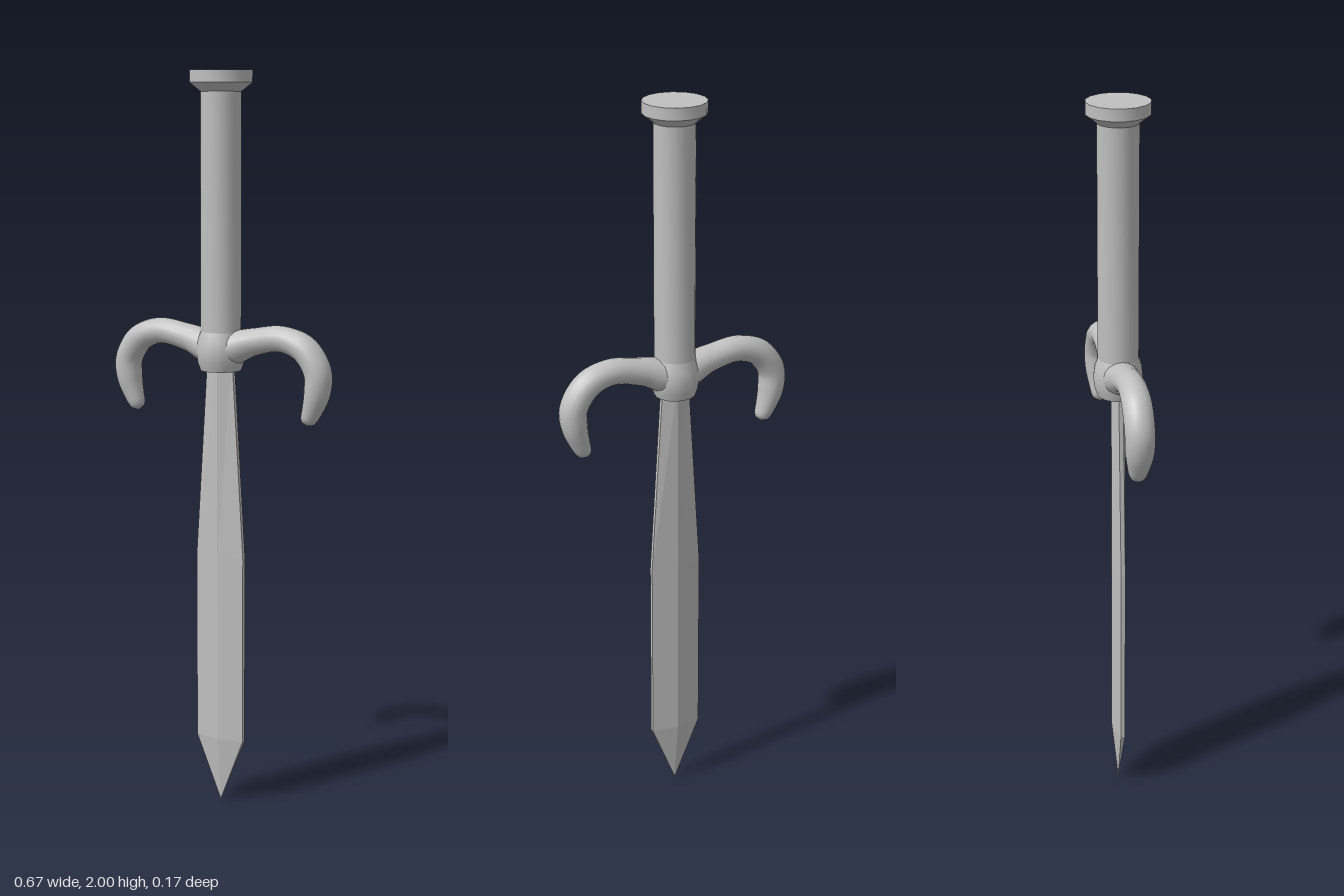
import * as THREE from 'three';
import { mergeVertices, toCreasedNormals } from 'three/addons/utils/BufferGeometryUtils.js';

const SIDES = 16;

// Turned part from [radius, height] pairs, listed bottom to top
function turned(name, profile, material) {
  const lathe = new THREE.LatheGeometry(profile.map(([r, y]) => new THREE.Vector2(r, y)), SIDES);
  const mesh = new THREE.Mesh(toCreasedNormals(lathe, 0.6), material);
  mesh.name = name;
  return mesh;
}

// Curved guard: one tube through both horns, with a varying radius
function guardGeometry() {
  // x, y, radius along the left half
  const half = [
    [0, 1.265, 0.05], [0.1, 1.292, 0.037], [0.19, 1.305, 0.035], [0.255, 1.282, 0.037],
    [0.294, 1.225, 0.037], [0.293, 1.17, 0.035], [0.278, 1.12, 0.027],
    [0.27, 1.1, 0.023], [0.267, 1.088, 0.017], [0.264, 1.08, 0],
  ];
  const all = [...half.slice(1).reverse().map(([x, y, r]) => [-x, y, r]), ...half];
  const path = new THREE.CatmullRomCurve3(all.map(([x, y]) => new THREE.Vector3(x, y, 0)));
  const radii = new THREE.SplineCurve(all.map((p) => new THREE.Vector2(p[2], 0)));
  const rings = 100;
  const tube = new THREE.TubeGeometry(path, rings, 1, SIDES);
  const pos = tube.attributes.position;
  const v = new THREE.Vector3();
  for (let i = 0; i <= rings; i++) {
    const u = i / rings;
    const centre = path.getPointAt(u);
    const end = i === 0 || i === rings;
    const r = end ? 0 : Math.max(0, radii.getPoint(path.getUtoTmapping(u)).x);
    for (let j = 0; j <= SIDES; j++) {
      const k = i * (SIDES + 1) + j;
      v.fromBufferAttribute(pos, k).sub(centre).multiplyScalar(r);
      v.z *= 1.07;
      v.add(centre);
      pos.setXYZ(k, v.x, v.y, v.z);
    }
  }
  tube.deleteAttribute('uv');
  tube.deleteAttribute('normal');
  const smooth = mergeVertices(tube, 1e-5);
  smooth.computeVertexNormals();
  return smooth;
}

// Blade: six-sided sections with a central ridge and narrow blunt edges
function bladeGeometry() {
  // height, half width, half thickness at the ridge, half thickness at the edge
  const sections = [
    [0, 0, 0, 0], [0.18, 0.073, 0.019, 0.006],
    [0.7, 0.073, 0.019, 0.006], [1.25, 0.038, 0.019, 0.006],
  ];
  const points = [];
  const index = [];
  sections.forEach(([y, w, t, e], s) => {
    points.push(w, y, e, 0, y, t, -w, y, e, -w, y, -e, 0, y, -t, w, y, -e);
    if (s === 0) return;
    for (let j = 0; j < 6; j++) {
      const a = (s - 1) * 6 + j, b = (s - 1) * 6 + (j + 1) % 6;
      if (s > 1) index.push(a, a + 6, b);
      index.push(b, a + 6, b + 6);
    }
  });
  // Closing face hidden inside the collar
  const top = (sections.length - 1) * 6;
  for (let j = 1; j < 5; j++) index.push(top, top + j + 1, top + j);
  const geometry = new THREE.BufferGeometry();
  geometry.setAttribute('position', new THREE.Float32BufferAttribute(points, 3));
  geometry.setIndex(index);
  const flat = geometry.toNonIndexed();
  flat.computeVertexNormals();
  return flat;
}

export function createModel() {
  const model = new THREE.Group();
  model.name = 'dagger';
  const steel = new THREE.MeshStandardMaterial({ color: 0xc0c0c0 });
  steel.name = 'steel grey';

  const blade = new THREE.Mesh(bladeGeometry(), steel);
  blade.name = 'blade';
  const guard = new THREE.Mesh(guardGeometry(), steel);
  guard.name = 'guard';

  // Swollen collar where the guard wraps the grip
  const collar = turned('collar', [
    [0, 1.21], [0.055, 1.21], [0.063, 1.232], [0.067, 1.26], [0.064, 1.288], [0.055, 1.315],
  ], steel);
  const grip = turned('grip', [[0.055, 1.22], [0.055, 1.96]], steel);
  const pommel = turned('pommel', [[0.055, 1.945], [0.084, 1.968], [0.084, 2], [0, 2]], steel);

  model.add(blade, guard, collar, grip, pommel);
  return model;
}
